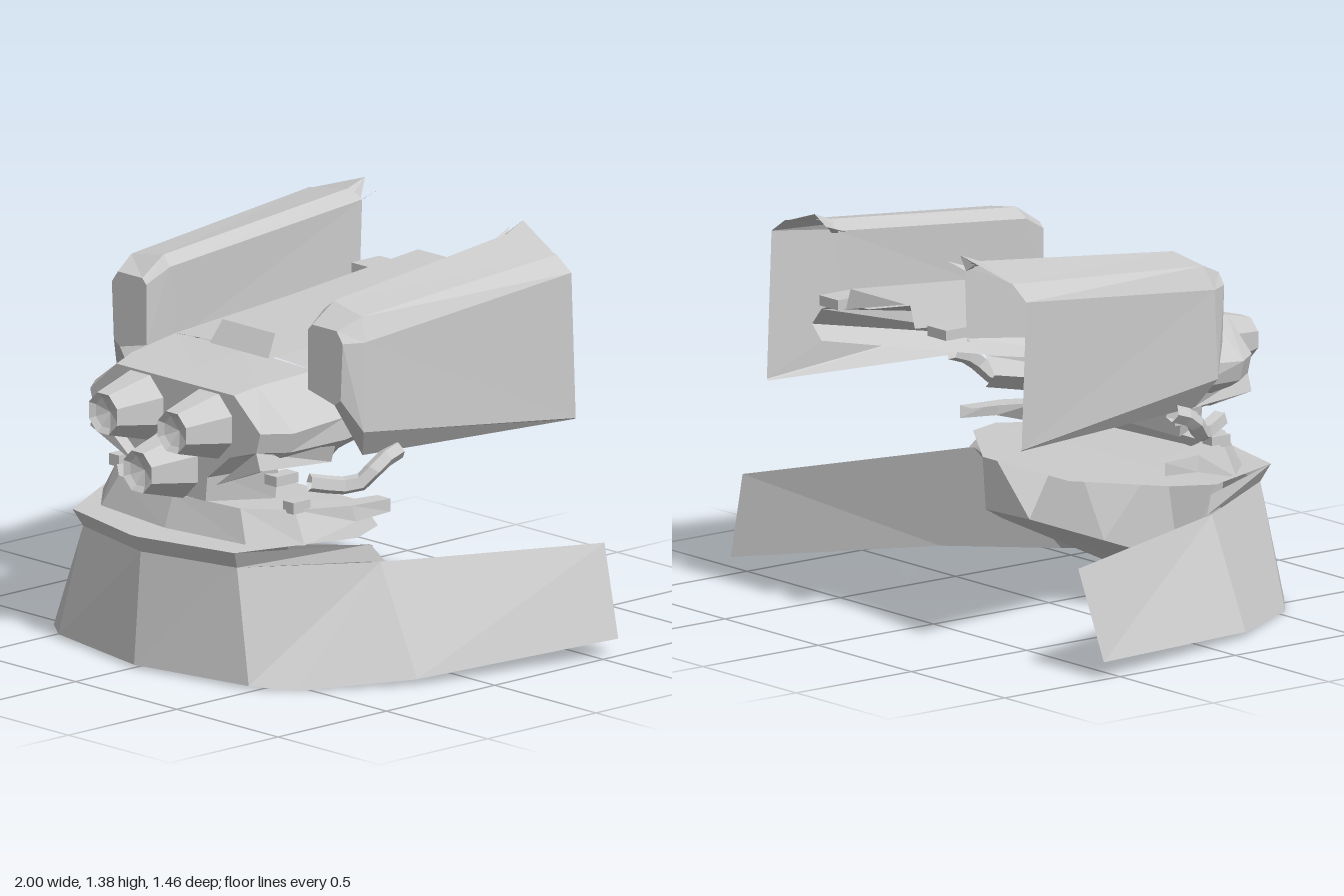
import * as THREE from 'three';

const material = new THREE.MeshStandardMaterial({
  color: 0xcccccc, flatShading: true, side: THREE.DoubleSide,
});

// Skin a list of equally long rows of [x, y, z] points
function skin(rows, closed = false, caps = false) {
  const n = rows[0].length;
  const index = [];
  for (let r = 0; r < rows.length - 1; r++) {
    for (let c = 0; c < (closed ? n : n - 1); c++) {
      const a = r * n + c, b = r * n + (c + 1) % n;
      index.push(a, b, a + n, b, b + n, a + n);
    }
  }
  if (caps) {
    const last = (rows.length - 1) * n;
    for (let c = 1; c < n - 1; c++) {
      index.push(0, c + 1, c, last, last + c, last + c + 1);
    }
  }
  const g = new THREE.BufferGeometry();
  g.setAttribute('position', new THREE.Float32BufferAttribute(rows.flat(2), 3));
  g.setIndex(index);
  const flat = g.toNonIndexed();
  flat.computeVertexNormals();
  return flat;
}

// Complete a half row, starting on the centre line, with its mirror image
const mirrorRow = (row) => [
  ...row.slice(1).reverse().map(([x, y, z]) => [-x, y, z]), ...row,
];
// Flat sheet symmetric in x, from [halfWidth, y, z] stations
const sheet = (stations) => skin(stations.map(([x, y, z]) => [[-x, y, z], [x, y, z]]));
const section = (z, pts) => pts.map(([x, y]) => [x, y, z]);

export function createModel() {
  const model = new THREE.Group();
  const add = (name, geometry) => {
    const mesh = new THREE.Mesh(geometry, material);
    mesh.name = name;
    model.add(mesh);
    return mesh;
  };
  // Build a part on the left and mirror it to the right
  const pair = (name, geometry) => {
    add('left' + name, geometry);
    add('right' + name, geometry).scale.x = -1;
  };

  // Collar band sweeping back into two wings
  const collarTop = [[0, 0.4, 0.7], [0.38, 0.4, 0.61], [0.64, 0.395, 0.19],
    [0.64, 0.395, 0.19], [0.9, 0.37, -0.6]];
  const collarBottom = [[0, 0.01, 0.73], [0.47, 0.01, 0.64], [0.6, 0, 0.54],
    [0.82, 0.02, 0.19], [1, 0.06, -0.57]];
  add('collar', skin([mirrorRow(collarTop), mirrorRow(collarBottom)]));

  // Lip flaring over the collar, and the deck it carries
  const lipTop = [[0, 0.46, 0.73], [0.4, 0.46, 0.64], [0.61, 0.455, 0.21]];
  const lipBase = [[0, 0.4, 0.7], [0.38, 0.4, 0.61], [0.64, 0.395, 0.17]];
  add('collarLip', skin([mirrorRow(lipTop), mirrorRow(lipBase)]));
  add('collarDeck', sheet([[0.02, 0.46, 0.73], [0.4, 0.46, 0.64], [0.59, 0.48, 0.25],
    [0.53, 0.485, 0.1], [0.23, 0.478, -0.1]]));

  // Inner wall dropping from the deck to a straight edge, with a shelf under it
  add('collarLiner', skin([
    mirrorRow([[0, 0.455, 0.5], [0.42, 0.455, 0.42], [0.61, 0.45, 0.2]]),
    mirrorRow([[0, 0.18, 0.24], [0.4, 0.18, 0.24], [0.61, 0.18, 0.22]]),
    mirrorRow([[0, 0.03, 0.46], [0.2, 0.03, 0.45], [0.57, 0.15, 0.26]]),
  ]));

  // Neck ring, its arms reaching back
  const ringTop = [[0, 0.575, 0.55], [0.3, 0.575, 0.52], [0.44, 0.575, 0.4],
    [0.53, 0.575, 0.22], [0.55, 0.575, 0.06]];
  const ringBase = [[0, 0.46, 0.59], [0.36, 0.46, 0.55], [0.5, 0.465, 0.41],
    [0.54, 0.52, 0.21], [0.55, 0.53, 0.06]];
  const ringInner = ringTop.map(([x, y, z]) => [x * 0.88, y, z - 0.06 * (z > 0.1)]);
  add('neckRing', skin([ringBase, ringTop, ringInner].map(mirrorRow)));
  add('neckPlate', sheet([[0.01, 0.57, 0.54], [0.3, 0.57, 0.51], [0.4, 0.57, 0.38]]));
  pair('RingPost', new THREE.BoxGeometry(0.05, 0.04, 0.08).translate(0.43, 0.585, 0.38));

  // Head: faceted front section
  const head = [
    section(0.54, [[0, 0.97], [0.29, 0.97], [0.42, 0.86], [0.4, 0.79], [0.27, 0.75], [0.16, 0.66]]),
    section(0.45, [[0, 0.99], [0.31, 0.99], [0.49, 0.86], [0.47, 0.79], [0.35, 0.72], [0.18, 0.66]]),
    section(0.22, [[0, 1.02], [0.34, 1.01], [0.5, 0.88], [0.5, 0.8], [0.42, 0.72], [0.27, 0.7]]),
  ];
  add('headShell', skin(head.map(mirrorRow)));
  add('facePlate', sheet(head[0].slice(1)));

  // Roof either side of the hollow spine, with flanges running back
  pair('Roof', skin([
    section(0.22, [[0.15, 1.02], [0.34, 1.01], [0.5, 0.88], [0.5, 0.8], [0.42, 0.74]]),
    section(-0.63, [[0.185, 1.075], [0.34, 1.07], [0.44, 1.03], [0.49, 0.97], [0.44, 0.92]]),
  ]));
  add('spine', skin([
    section(0.25, [[-0.15, 1.02], [-0.14, 1.02], [0.14, 1.02], [0.15, 1.02]]),
    section(0.2, [[-0.155, 1.02], [-0.13, 1.095], [0.13, 1.095], [0.155, 1.02]]),
    section(-0.73, [[-0.185, 1.09], [-0.16, 1.165], [0.16, 1.165], [0.185, 1.09]]),
  ]));
  pair('RoofTab', new THREE.BoxGeometry(0.1, 0.035, 0.13).translate(0.29, 1.092, -0.655));

  // Side pods: hollow, open behind and below, tucked in at the front corner
  const podFront = section(0.3, [[0.53, 0.94], [0.56, 0.96], [0.57, 1.16], [0.54, 1.2],
    [0.42, 1.2], [0.4, 1.18], [0.4, 0.97]]);
  pair('Pod', skin([
    podFront,
    [[0.55, 0.75, 0.19], [0.61, 0.85, 0.24], [0.605, 1.16, 0.23], [0.57, 1.24, 0.21],
      [0.42, 1.265, 0.2], [0.38, 1.23, 0.21], [0.39, 0.95, 0.21]],
    [[0.675, 0.745, -0.67], [0.683, 0.75, -0.67], [0.683, 1.26, -0.65], [0.61, 1.31, -0.65],
      [0.4, 1.35, -0.64], [0.34, 1.32, -0.64], [0.34, 1.06, -0.63]],
  ]));
  pair('PodNose', skin([[podFront[0], podFront[1], podFront[2], podFront[3]],
    [podFront[6], podFront[6], podFront[5], podFront[4]]]));
  // Ragged crest at the rear of each pod
  pair('PodCrest', skin([
    [[0.57, 1.315, -0.63], [0.6, 1.31, -0.65]],
    [[0.4, 1.34, -0.6], [0.39, 1.378, -0.7]],
    [[0.37, 1.33, -0.62], [0.36, 1.31, -0.65]],
    [[0.34, 1.31, -0.6], [0.325, 1.345, -0.7]],
  ]));

  // Three tapered eight-sided eyepieces with dished ends
  for (const [name, x, y] of [['leftLens', 0.17, 0.85], ['rightLens', -0.17, 0.85],
    ['lowerLens', 0, 0.68]]) {
    const profile = [[0, 0.68], [0.055, 0.7], [0.075, 0.715], [0.122, 0.545], [0.09, 0.42]]
      .map(([r, z]) => new THREE.Vector2(r, z));
    const g = new THREE.LatheGeometry(profile, 8, Math.PI / 8).rotateX(Math.PI / 2);
    add(name, g.translate(x, y, 0));
  }

  // Jaw, cheeks and chin details
  add('jaw', skin([
    section(0.54, [[-0.15, 0.575], [0.15, 0.575], [0.16, 0.68], [-0.16, 0.68]]),
    section(0.34, [[-0.28, 0.575], [0.28, 0.575], [0.3, 0.72], [-0.3, 0.72]]),
  ], true, true));
  pair('Cheek', skin([
    section(0.54, [[0.2, 0.64], [0.32, 0.7], [0.42, 0.73], [0.4, 0.79]]),
    section(0.25, [[0.3, 0.69], [0.36, 0.7], [0.46, 0.72], [0.48, 0.78]]),
  ], true, true));
  pair('ChinBlock', new THREE.BoxGeometry(0.06, 0.035, 0.1).translate(0.3, 0.647, 0.33));

  // Curved hoses hanging below the pods
  const hosePath = new THREE.CatmullRomCurve3([
    [0.59, 0.755, 0.06], [0.585, 0.72, 0.15], [0.57, 0.67, 0.19], [0.53, 0.65, 0.24], [0.47, 0.67, 0.36],
  ].map((p) => new THREE.Vector3(...p)));
  pair('Hose', new THREE.TubeGeometry(hosePath, 6, 0.032, 5));

  return model;
}
